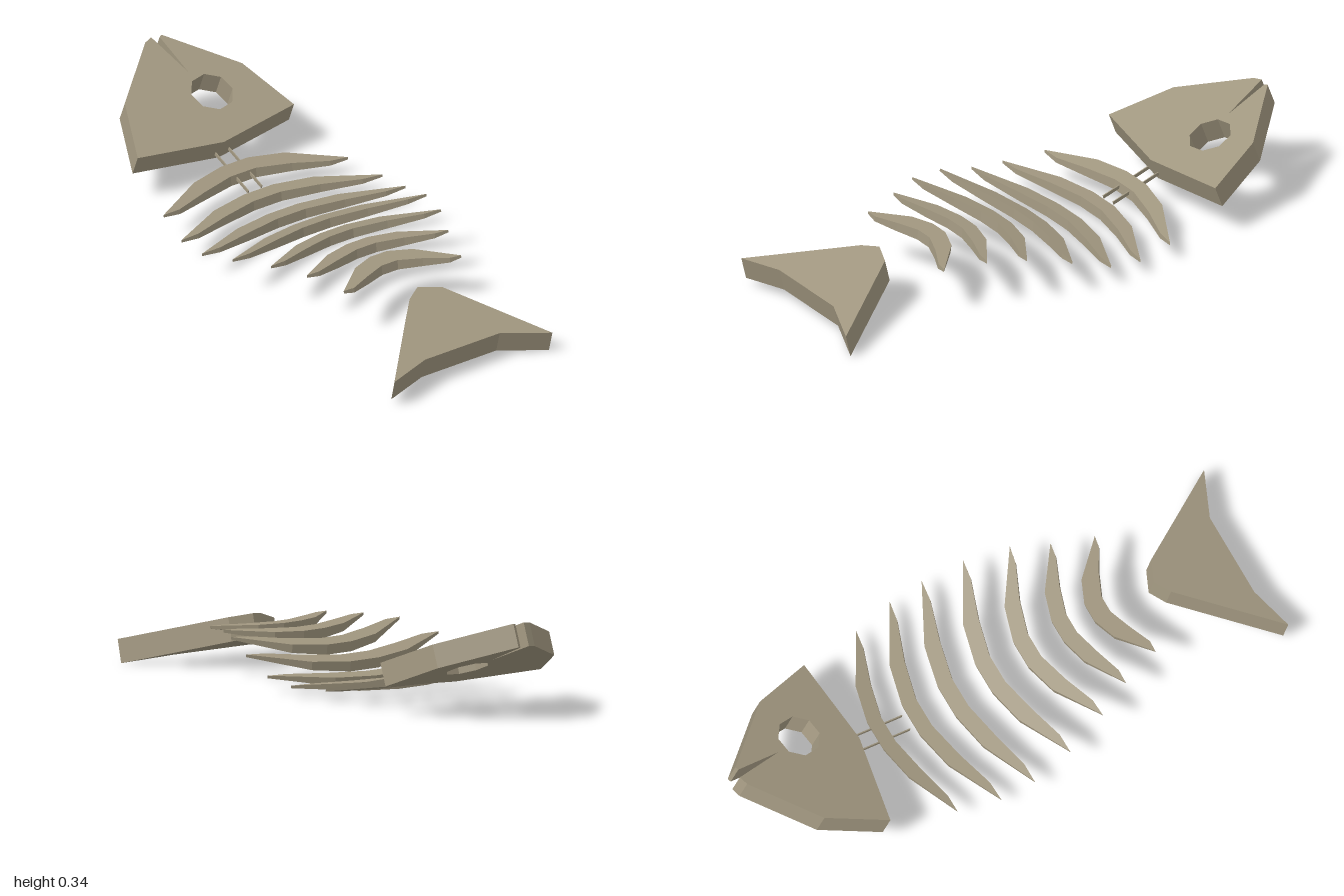
import * as THREE from 'three';

const bone = new THREE.MeshStandardMaterial({ color: 0xa0967f });
bone.name = 'bone';

// Slab whose top outline is given as [x, z]; topY(x, z) sets its height,
// and the underside is shifted by (dx, dy), scaled by thick(z).
function slab(name, outline, topY, dx, dy, hole, thick = () => 1) {
  const pts = outline.map(([x, z]) => new THREE.Vector2(x, -z));
  const shape = new THREE.Shape(pts);
  if (hole) shape.holes.push(new THREE.Path(hole.map(([x, z]) => new THREE.Vector2(x, -z))));
  const geo = new THREE.ExtrudeGeometry(shape, { depth: 1, bevelEnabled: false });
  geo.rotateX(-Math.PI / 2);
  const p = geo.attributes.position;
  for (let i = 0; i < p.count; i++) {
    const x = p.getX(i), z = p.getZ(i);
    const t = (1 - p.getY(i)) * thick(z);
    p.setXYZ(i, x + dx * t, topY(x, z) + dy * t, z);
  }
  geo.computeVertexNormals();
  const mesh = new THREE.Mesh(geo, bone);
  mesh.name = name;
  return mesh;
}

export function createModel() {
  const fish = new THREE.Group();
  fish.name = 'fishSkeleton';

  // Head: sloping slab with an open mouth and a round eye socket
  const eye = [];
  for (let i = 0; i < 8; i++) {
    const a = (i + 0.3) / 8 * Math.PI * 2;
    eye.push([-0.703 + 0.073 * Math.cos(a), -0.085 + 0.076 * Math.sin(a)]);
  }
  fish.add(slab('head', [
    [-0.97, -0.022], [-0.96, 0.01], [-0.78, 0.225], [-0.575, 0.318], [-0.515, 0],
    [-0.55, -0.318], [-0.76, -0.252], [-0.965, -0.062], [-0.96, -0.05], [-0.8, -0.057],
  ], (x) => 0.34 - 0.385 * (x + 0.97), -0.03, -0.078, eye));

  // Ribs: [front x, top y, slope, sweep, half span, width]
  const ribs = [
    [-0.455, 0.115, -0.25, 0.125, 0.375, 0.05],
    [-0.315, 0.078, 0.0, 0.137, 0.41, 0.05],
    [-0.175, 0.073, 0.18, 0.125, 0.415, 0.052],
    [-0.03, 0.105, 0.32, 0.13, 0.395, 0.052],
    [0.115, 0.145, 0.28, 0.14, 0.345, 0.052],
    [0.26, 0.175, 0.12, 0.12, 0.285, 0.052],
    [0.385, 0.187, -0.03, 0.14, 0.235, 0.062],
  ];
  ribs.forEach(([x0, y0, slope, sweep, span, w], i) => {
    const skew = 0.015; // upper tips sweep back a little further
    const at = (fz, fs, dx) => [x0 + sweep * fs - skew * fz * Math.abs(fz) + dx, fz * span];
    const outer = [[-1, 1], [-0.5, 0.23], [-0.15, 0], [0.15, 0], [0.5, 0.23], [1, 1]];
    const inner = [[0.82, 0.78], [0.48, 0.25], [0.14, 0.02], [-0.14, 0.02], [-0.48, 0.25], [-0.82, 0.78]];
    const outline = [
      ...outer.map(([fz, fs]) => at(fz, fs, 0)),
      ...inner.map(([fz, fs], k) => at(fz, fs, k === 0 || k === 5 ? w * 0.45 : w)),
    ];
    fish.add(slab('rib' + (i + 1), outline,
      (x, z) => y0 + slope * (x - x0) + 0.035 * z, 0.005, -0.036, null,
      (z) => 1 - 0.75 * (z / span) ** 2));
  });

  // Thin spine slivers behind the head
  for (const z of [-0.028, 0.028]) {
    const sliver = new THREE.Mesh(new THREE.BoxGeometry(0.2, 0.012, 0.004), bone);
    sliver.position.set(-0.43, 0.095, z);
    sliver.rotation.z = -0.27;
    sliver.name = 'spineSliver';
    fish.add(sliver);
  }

  // Tail fin: sloping slab with a notched rear edge
  fish.add(slab('tailFin', [
    [0.63, 0.012], [0.665, 0.07], [0.965, 0.348], [0.922, 0.19],
    [0.925, -0.12], [0.998, -0.288], [0.665, -0.066],
  ], (x, z) => 0.187 - 0.265 * (x - 0.63) + 0.025 * z, -0.02, -0.081));

  return fish;
}
